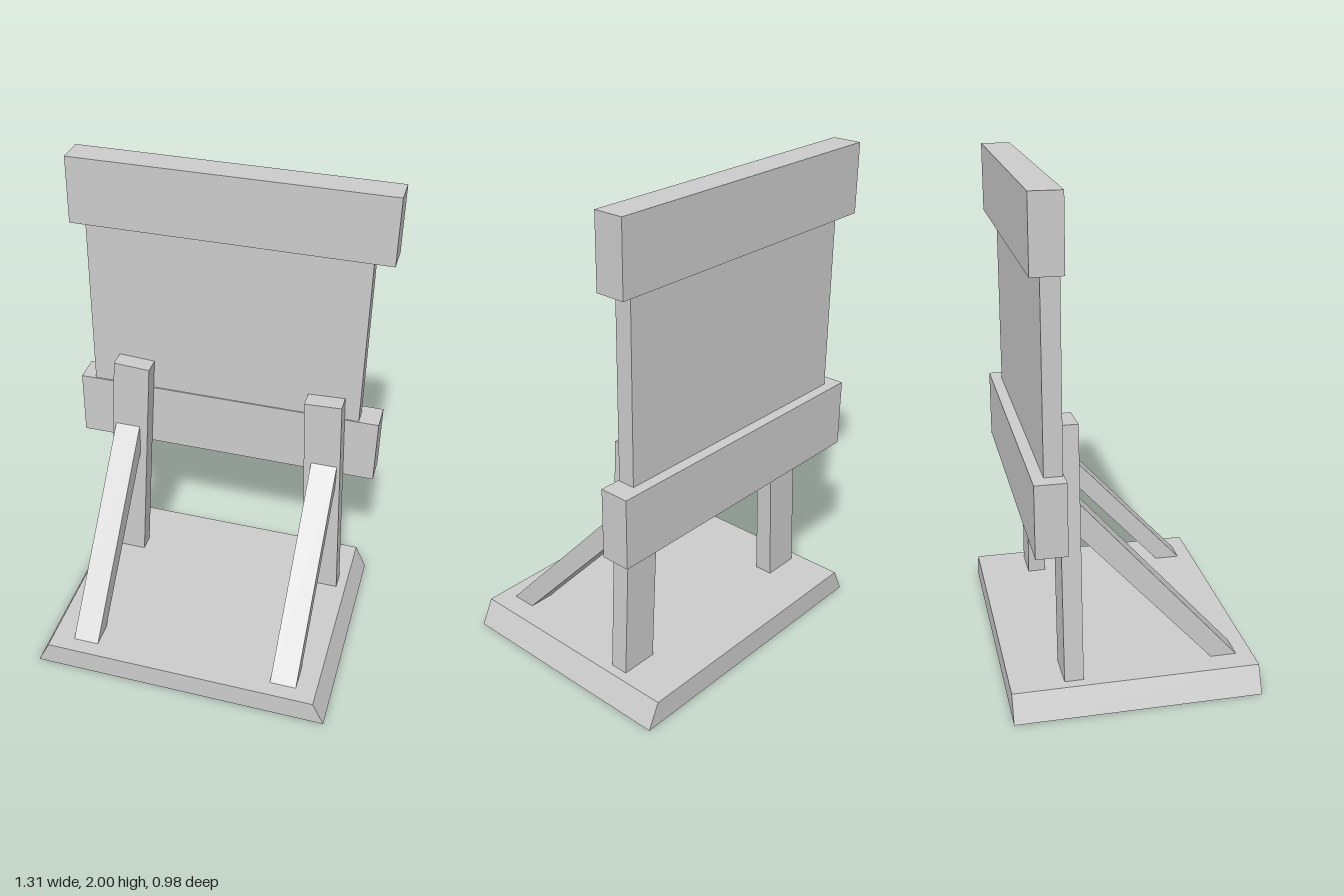
import * as THREE from 'three';

const material = new THREE.MeshStandardMaterial({ color: 0xcccccc, flatShading: true });

function add(group, name, geometry) {
  const mesh = new THREE.Mesh(geometry, material);
  mesh.name = name;
  group.add(mesh);
  return mesh;
}

// Flat outline extruded by the given depth
function prism(points, depth) {
  const shape = new THREE.Shape(points.map(([a, b]) => new THREE.Vector2(a, b)));
  return new THREE.ExtrudeGeometry(shape, { depth, bevelEnabled: false });
}

// Outline in x, y running from z0 to z1
const alongZ = (points, z0, z1) => prism(points, z1 - z0).translate(0, 0, z0);

// Outline in z, y running from x0 to x1
const alongX = (points, x0, x1) => prism(points, x1 - x0).rotateY(-Math.PI / 2).translate(x1, 0, 0);

// Box given by its limits
function block(x0, x1, y0, y1, z0, z1) {
  return new THREE.BoxGeometry(x1 - x0, y1 - y0, z1 - z0)
    .translate((x0 + x1) / 2, (y0 + y1) / 2, (z0 + z1) / 2);
}

export function createModel() {
  const group = new THREE.Group();
  group.name = 'signStand';

  // Base with sloping ends
  add(group, 'base', alongZ([[-0.62, 0], [0.64, 0], [0.59, 0.105], [-0.57, 0.105]], -0.49, 0.49));

  // Board and its two rails
  add(group, 'panel', block(-0.588, 0.568, 0.9, 1.8, -0.355, -0.285));
  add(group, 'topRail', block(-0.655, 0.648, 1.72, 2, -0.4, -0.28));
  add(group, 'bottomRail', block(-0.652, 0.652, 0.7, 0.985, -0.4, -0.28));

  // Posts leaning inwards
  add(group, 'rightPost', alongZ([[-0.53, 0.1], [-0.37, 0.1], [-0.315, 1.123], [-0.47, 1.132]], -0.28, -0.205));
  add(group, 'leftPost', alongZ([[0.395, 0.1], [0.55, 0.1], [0.505, 1.092], [0.35, 1.085]], -0.28, -0.205));

  // Diagonal braces from the base up to the posts
  const brace = (top, bottom) => [[0.43, 0.1], [-0.21, top], [-0.21, bottom], [0.325, 0.1]];
  add(group, 'rightBrace', alongX(brace(0.825, 0.69), -0.475, -0.367));
  add(group, 'leftBrace', alongX(brace(0.795, 0.68), 0.395, 0.505));

  return group;
}
